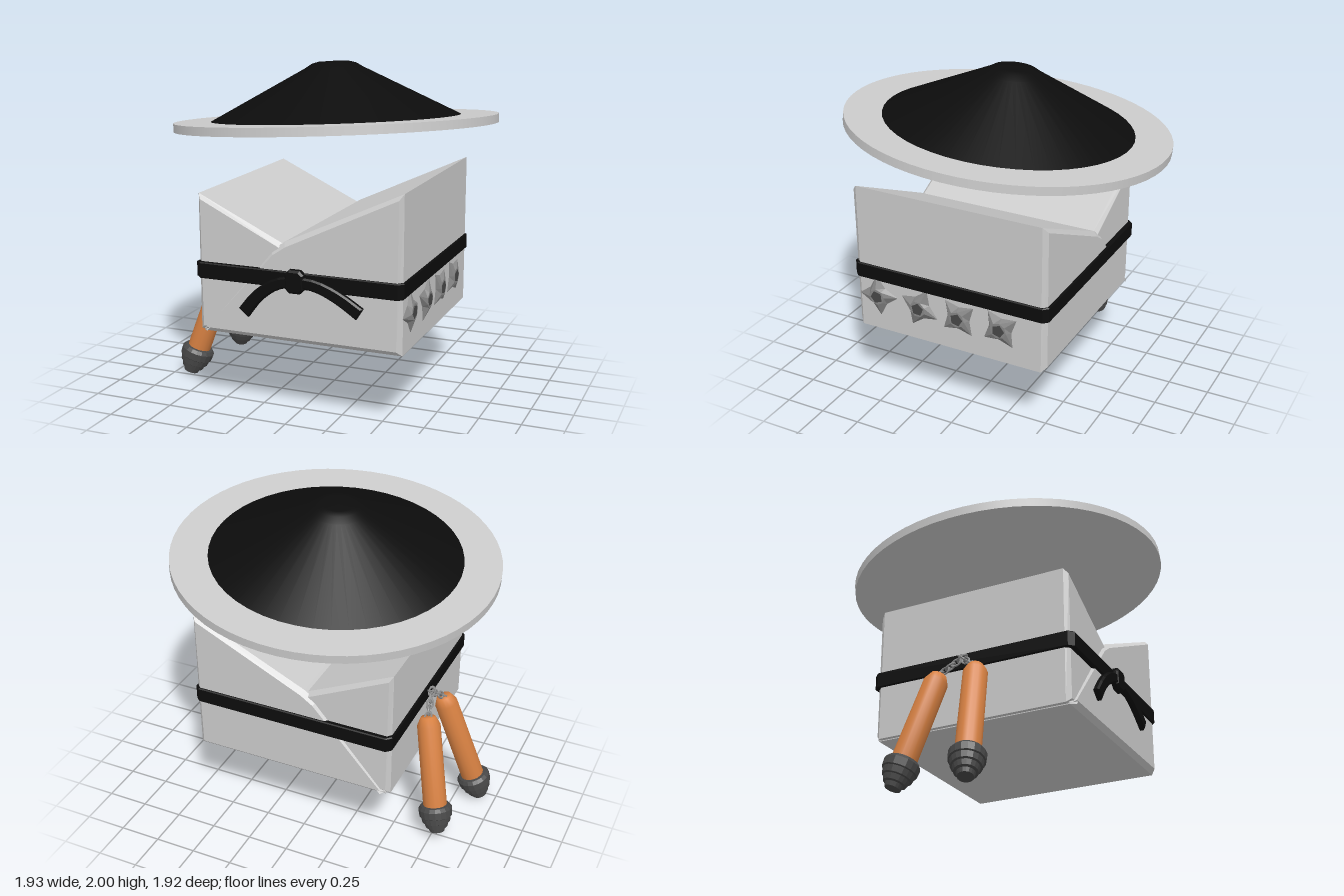
import * as THREE from 'three';

const mat = (color, flatShading = true) =>
  new THREE.MeshStandardMaterial({ color, flatShading });
const GREY = mat(0xcccccc), BLACK = mat(0x0c0c0c), STEEL = mat(0x888888),
  DARK = mat(0x484848), WOOD = mat(0xd98243, false), FELT = mat(0x0c0c0c, false);

function add(parent, name, geometry, material, x = 0, y = 0, z = 0) {
  const mesh = new THREE.Mesh(geometry, material);
  mesh.name = name;
  mesh.position.set(x, y, z);
  parent.add(mesh);
  return mesh;
}

const vecs = pts => pts.map(([x, y]) => new THREE.Vector2(x, y));

// Extrude an outline from z0 to z1, with the bevel kept inside those limits
function slab(outline, z0, z1, bevel) {
  const geo = new THREE.ExtrudeGeometry(new THREE.Shape(outline), {
    depth: z1 - z0 - 2 * bevel, bevelThickness: bevel, bevelSize: bevel,
    bevelOffset: -bevel, bevelSegments: 1, curveSegments: 6,
  });
  return geo.translate(0, 0, z0 + bevel);
}

// Outline of a ribbon of width w that follows a smooth line
function ribbon(points, w) {
  const curve = new THREE.SplineCurve(vecs(points));
  const upper = [], lower = [];
  for (let i = 0; i <= 8; i++) {
    const p = curve.getPoint(i / 8), t = curve.getTangent(i / 8);
    const half = w * (0.42 + 0.08 * i / 8);
    upper.push(new THREE.Vector2(p.x - t.y * half, p.y + t.x * half));
    lower.unshift(new THREE.Vector2(p.x + t.y * half, p.y - t.x * half));
  }
  const outline = [...upper, ...lower];
  return THREE.ShapeUtils.isClockWise(outline) ? outline.reverse() : outline;
}

// Rectangle with cut corners, centred on the origin
function cutRect(w, h, c) {
  const x = w / 2, y = h / 2;
  return [[-x + c, -y], [x - c, -y], [x, -y + c], [x, y - c],
    [x - c, y], [-x + c, y], [-x, y - c], [-x, -y + c]];
}

// Conical hat, tilted as one piece
function hat() {
  const g = new THREE.Group();
  g.name = 'hat';
  add(g, 'hatBrim', new THREE.CylinderGeometry(0.96, 0.96, 0.05, 64), mat(0xcccccc, false), 0, 0.025);
  const cone = vecs([[0.74, 0.05], [0.17, 0.345], [0.13, 0.37], [0.09, 0.38], [0, 0.383]]);
  add(g, 'hatCrown', new THREE.LatheGeometry(cone, 48), FELT);
  g.position.set(0.01, 1.615, 0);
  g.quaternion.setFromUnitVectors(new THREE.Vector3(0, 1, 0),
    new THREE.Vector3(-0.068, 1, -0.08).normalize());
  return g;
}

// Wrapped jacket: two overlapping panels that run from front to back
function jacket() {
  const g = new THREE.Group();
  g.name = 'jacket';
  const under = [[-0.58, 0.475], [0.3, 0.475], [0.3, 0.88], [-0.05, 1.035], [-0.58, 1.285]];
  const over = [[-0.555, 0.47], [0.665, 0.47], [0.665, 1.38], [-0.04, 1.05], [-0.12, 0.995], [-0.555, 0.485]];
  add(g, 'underPanel', slab(vecs(under), -0.555, 0.66, 0.025), GREY);
  add(g, 'overPanel', slab(vecs(over), -0.57, 0.675, 0.028), GREY);
  return g;
}

// Belt with knot and two hanging ends
function belt() {
  const g = new THREE.Group();
  g.name = 'belt';
  const band = slab(vecs(cutRect(1.265, 1.27, 0.03)), 0.795, 0.89, 0.006);
  band.rotateX(-Math.PI / 2);
  add(g, 'beltBand', band, BLACK, 0.0425, 0, 0.053);
  add(g, 'beltKnot', slab(vecs(cutRect(0.115, 0.135, 0.025)), 0.66, 0.715, 0.012), BLACK, 0.043, 0.84);
  const ends = [
    [[0.03, 0.84], [-0.08, 0.81], [-0.19, 0.73], [-0.275, 0.625]],
    [[0.05, 0.84], [0.18, 0.825], [0.31, 0.77], [0.43, 0.695]],
  ];
  for (const line of ends)
    add(g, 'beltEnd', slab(ribbon(line, 0.075), 0.67, 0.71, 0.01), BLACK);
  return g;
}

// Four-pointed throwing star: a low cone whose rim is pulled into points
function star(z, y, angle) {
  const g = new THREE.Group();
  g.name = 'throwingStar';
  const geo = new THREE.CylinderGeometry(0.05, 0.13, 0.028, 8);
  const p = geo.attributes.position;
  for (let i = 0; i < p.count; i++) {
    if (p.getY(i) > 0) continue;
    const corner = Math.round(Math.atan2(p.getX(i), p.getZ(i)) / (Math.PI / 4));
    if (Math.abs(corner) % 2 && Math.hypot(p.getX(i), p.getZ(i)) > 0.01) {
      p.setX(i, p.getX(i) * 0.55);
      p.setZ(i, p.getZ(i) * 0.55);
    }
  }
  geo.computeVertexNormals();
  add(g, 'starBlade', geo, STEEL);
  add(g, 'starCentre', new THREE.CylinderGeometry(0.04, 0.04, 0.004, 5), DARK, 0, 0.014);
  g.position.set(0.679, y, z);
  g.rotation.set(angle, 0, -Math.PI / 2);
  return g;
}

// Wooden stick with a ridged end cap, running from its low end to its top
function stick(low, top) {
  const g = new THREE.Group();
  g.name = 'stick';
  const dir = top.clone().sub(low), len = dir.length();
  const wood = vecs([[0, 0.1], [0.072, 0.1], [0.07, len - 0.05], [0.045, len], [0, len]]);
  add(g, 'stickHandle', new THREE.LatheGeometry(wood, 16), WOOD);
  const cap = vecs([[0, 0], [0.045, 0], [0.052, 0.025], [0.066, 0.03], [0.075, 0.06],
    [0.085, 0.065], [0.092, 0.1], [0.1, 0.105], [0.103, 0.15], [0.088, 0.17], [0.06, 0.175]]);
  add(g, 'stickCap', new THREE.LatheGeometry(cap, 18), DARK);
  g.position.copy(low);
  g.quaternion.setFromUnitVectors(new THREE.Vector3(0, 1, 0), dir.normalize());
  return g;
}

// Links strung between two points, each turned a quarter from the last
function chain(from, to, count) {
  const g = new THREE.Group();
  g.name = 'chain';
  const dir = to.clone().sub(from).normalize();
  const turn = new THREE.Quaternion().setFromUnitVectors(new THREE.Vector3(0, 1, 0), dir);
  for (let i = 0; i < count; i++) {
    const link = add(g, 'chainLink', new THREE.TorusGeometry(0.02, 0.006, 6, 12).scale(1, 1.5, 1), STEEL);
    link.position.lerpVectors(from, to, i / (count - 1));
    link.quaternion.copy(turn);
    link.rotateY(i % 2 ? Math.PI / 2 : 0);
  }
  return g;
}

export function createModel() {
  const model = new THREE.Group();
  model.name = 'warriorOutfit';
  model.add(hat(), jacket(), belt());

  // Stars in a row on the left side
  const stars = [[0.525, 0.695, 0.08], [0.245, 0.685, -0.4], [-0.015, 0.685, 0.72], [-0.285, 0.685, 0.65]];
  for (const [z, y, a] of stars) model.add(star(z, y, a));

  // Paired sticks hanging from the right side
  const sticks = new THREE.Group();
  sticks.name = 'chainedSticks';
  const hook = new THREE.Vector3(-0.61, 0.85, 0.02);
  const pairs = [
    [[-0.9, 0.02, 0.215], [-0.65, 0.76, 0.13]],
    [[-0.795, 0.07, -0.285], [-0.64, 0.76, -0.11]],
  ];
  for (const [low, top] of pairs) {
    const end = new THREE.Vector3(...top);
    sticks.add(stick(new THREE.Vector3(...low), end), chain(end, hook, 5));
  }
  model.add(sticks);
  return model;
}
